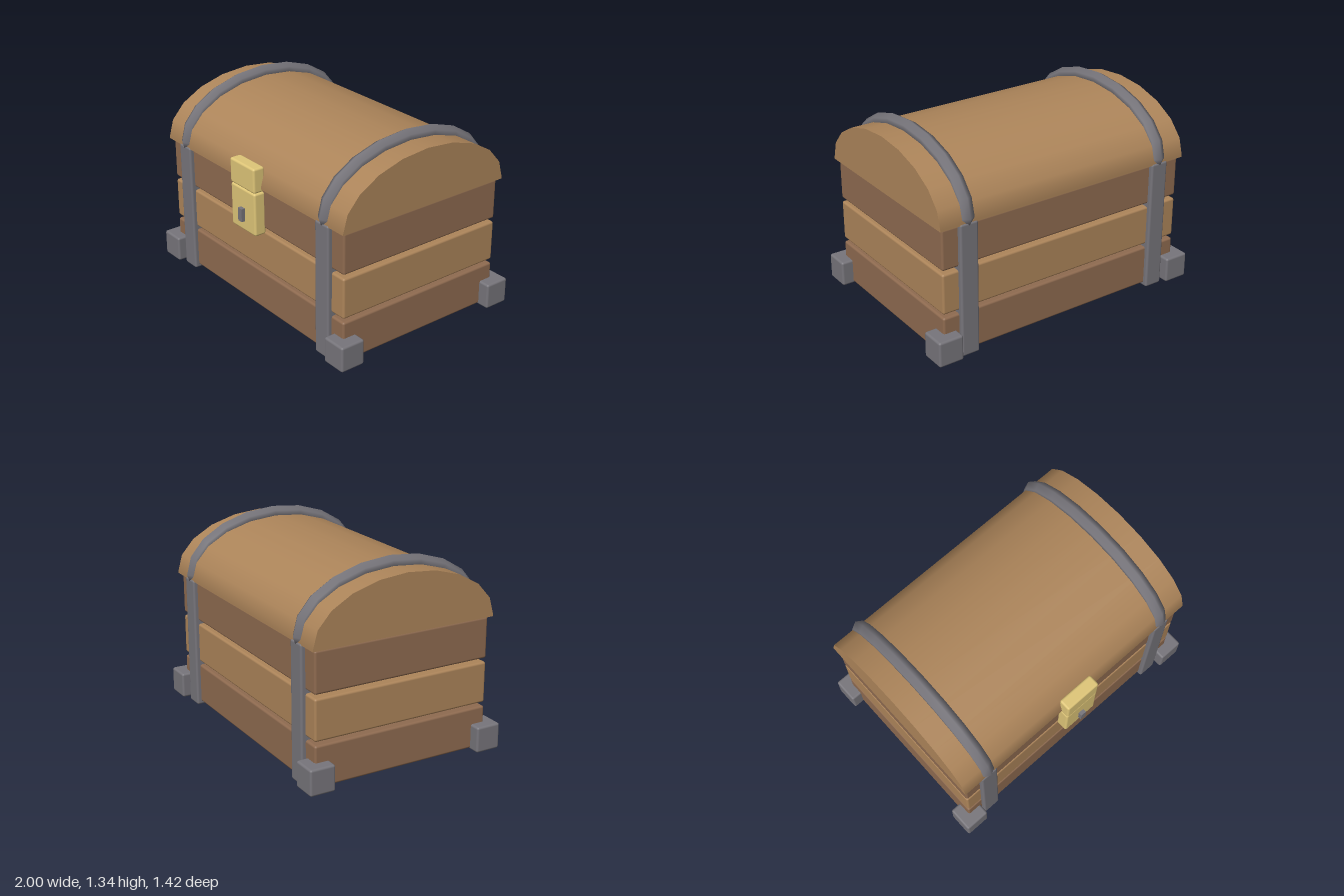
import * as THREE from 'three';
import { RoundedBoxGeometry } from 'three/addons/geometries/RoundedBoxGeometry.js';

const material = (color) => new THREE.MeshStandardMaterial({ color });

// Half-elliptical hexagonal band that arches over the lid in the y-z plane
function bandGeometry() {
  const sides = 6, r = 0.05, rings = [];
  for (let i = 0; i <= 10; i++) {
    const t = (-90 + i * 18) * Math.PI / 180;
    const n = new THREE.Vector2(Math.sin(t) / 0.67, Math.cos(t) / 0.405).normalize();
    rings.push({ z: 0.67 * Math.sin(t), y: 0.945 + 0.405 * Math.cos(t), n });
  }
  // short tucked-in ends below the curve
  rings.unshift({ z: -0.655, y: 0.9, n: new THREE.Vector2(-1, 0) });
  rings.push({ z: 0.655, y: 0.9, n: new THREE.Vector2(1, 0) });

  const pos = [], index = [], last = (rings.length - 1) * sides;
  for (const { z, y, n } of rings) {
    for (let j = 0; j < sides; j++) {
      const a = j / sides * Math.PI * 2, d = r * (Math.cos(a) - 1);
      pos.push(r * Math.sin(a), y + d * n.y, z + d * n.x);
    }
  }
  for (let i = 0; i < rings.length - 1; i++) {
    for (let j = 0; j < sides; j++) {
      const k = (j + 1) % sides, a = i * sides, b = a + sides;
      index.push(a + j, b + j, a + k, b + j, b + k, a + k);
    }
  }
  for (let j = 1; j < sides - 1; j++) {
    index.push(0, j, j + 1, last, last + j + 1, last + j);
  }
  const g = new THREE.BufferGeometry();
  g.setAttribute('position', new THREE.Float32BufferAttribute(pos, 3));
  g.setIndex(index);
  g.computeVertexNormals();
  return g;
}

export function createModel() {
  const group = new THREE.Group();
  const darkWood = material(0x8f6b50), lightWood = material(0xad855a);
  const iron = material(0x77757b), gold = material(0xdfc678);
  const zc = -0.01; // middle of the chest body

  function add(name, geometry, mat, x, y, z) {
    const mesh = new THREE.Mesh(geometry, mat);
    mesh.name = name;
    mesh.position.set(x, y, z);
    group.add(mesh);
    return mesh;
  }
  const rounded = (w, h, d, r = 0.015) => new RoundedBoxGeometry(w, h, d, 2, r);

  // Three stacked planks with open gaps between them
  for (let i = 0; i < 3; i++) {
    add('plank', rounded(1.845, 0.275, 1.25), i === 1 ? lightWood : darkWood, -0.003, 0.167 + i * 0.3, zc);
  }

  // Domed lid with a flat underside
  const dome = new THREE.CylinderGeometry(0.648, 0.648, 1.885, 10, 1, false, 0, Math.PI);
  dome.rotateZ(Math.PI / 2);
  dome.scale(1, 0.37 / 0.648, 1);
  add('lid', dome, lightWood, -0.002, 0.921, zc);
  add('lidUnderside', new THREE.BoxGeometry(1.885, 0.012, 1.296), lightWood, -0.002, 0.915, zc);

  // Iron straps around the body and bands over the lid
  const band = bandGeometry();
  for (const x of [-0.748, 0.742]) {
    add('strap', rounded(0.13, 0.912, 1.31), iron, x, 0.462, zc);
    add('lidBand', band, iron, x, 0, zc);
  }

  // Corner feet
  for (const sx of [-1, 1]) {
    for (const sz of [-1, 1]) {
      add('foot', rounded(0.175, 0.175, 0.175), iron, sx * 0.912, 0.108, zc + sz * 0.612);
    }
  }

  // Clasp: lid plate, lock plate and keyhole
  add('claspPlate', rounded(0.26, 0.17, 0.085), gold, -0.003, 0.972, 0.649);
  add('lockPlate', rounded(0.26, 0.295, 0.085), gold, -0.003, 0.738, 0.647);
  add('keyhole', new THREE.BoxGeometry(0.04, 0.09, 0.05), iron, -0.003, 0.707, 0.69);

  return group;
}
